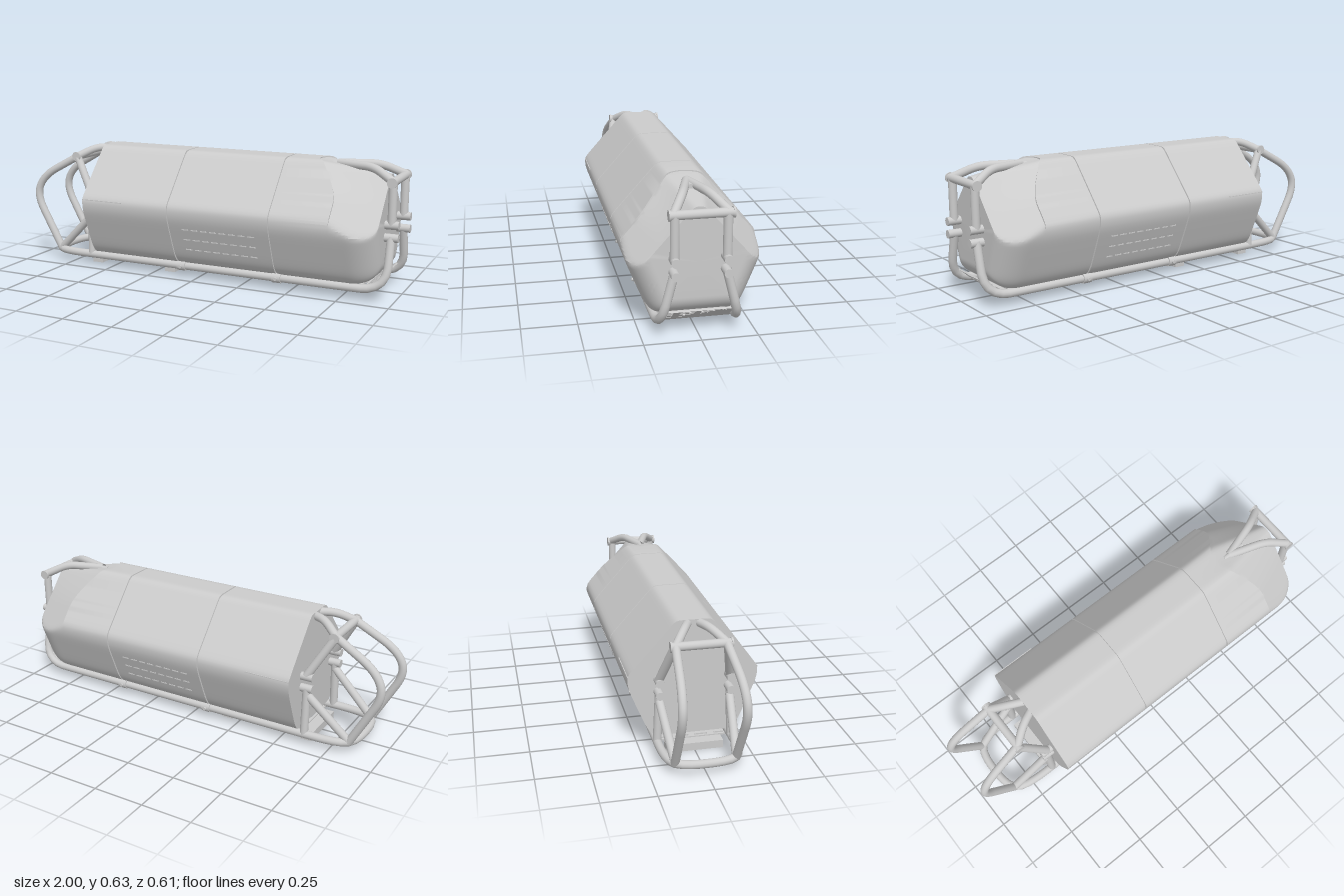
import * as THREE from 'three';
import { toCreasedNormals } from 'three/addons/utils/BufferGeometryUtils.js';

const V = (x, y, z) => new THREE.Vector3(x, y, z);
const CY = 0.33, NOSE = 0.93, REAR = -0.595, R = 0.02;

export function createModel() {
  const model = new THREE.Group();
  const mat = new THREE.MeshStandardMaterial({ color: 0xcccccc, side: THREE.DoubleSide });

  function add(name, geo, parent = model) {
    const m = new THREE.Mesh(geo, mat);
    m.name = name;
    parent.add(m);
    return m;
  }
  function box(name, sx, sy, sz, x, y, z) {
    const m = add(name, new THREE.BoxGeometry(sx, sy, sz));
    m.position.set(x, y, z);
    return m;
  }
  // Straight rod between two points
  function rod(name, a, b, r = R) {
    const d = b.clone().sub(a);
    const m = add(name, new THREE.CylinderGeometry(r, r, d.length(), 20));
    m.position.copy(a).add(b).multiplyScalar(0.5);
    m.quaternion.setFromUnitVectors(V(0, 1, 0), d.normalize());
    return m;
  }
  // Bent tube: straight runs joined by rounded corners
  function pipe(name, pts, bend = 0.06, closed = false) {
    const path = new THREE.CurvePath();
    let from = pts[0];
    for (let i = 1; i < pts.length - 1; i++) {
      const p = pts[i], a = pts[i - 1], b = pts[i + 1];
      const ra = Math.min(bend, p.distanceTo(a) * 0.48), rb = Math.min(bend, p.distanceTo(b) * 0.48);
      const s = p.clone().lerp(a, ra / p.distanceTo(a));
      const e = p.clone().lerp(b, rb / p.distanceTo(b));
      path.add(new THREE.LineCurve3(from, s));
      path.add(new THREE.QuadraticBezierCurve3(s, p, e));
      from = e;
    }
    path.add(new THREE.LineCurve3(from, pts[pts.length - 1]));
    return add(name, new THREE.TubeGeometry(path, 120, R, 14, closed));
  }

  // Body cross-section: rounded polygon from support planes [nz, ny, distance]
  function radius(th, shoulderCut, topCut, inset) {
    const planes = [
      [0, 1, 0.30 - topCut], [0.745, 0.667, 0.261 - shoulderCut], [1, 0, 0.305 - inset * 0.8],
      [0.924, -0.38, 0.283 - inset], [0.7, -0.714, 0.312 - inset], [0, -1, 0.26 - inset],
    ];
    const s = Math.abs(Math.sin(th)), c = Math.cos(th);
    let sum = 0;
    for (const [nz, ny, d] of planes) sum += Math.pow(Math.max(0, nz * s + ny * c) / d, 45);
    return Math.pow(sum, -1 / 45);
  }

  // Body shell: straight hull with two panel grooves, then a tapered nose
  const N = 144, pos = [], idx = [], rows = [];
  rows.push({ x: REAR, k: 0 }, { x: REAR, k: 1 });
  for (const g of [-0.105, 0.43])
    rows.push({ x: g - 0.004, k: 1 }, { x: g - 0.003, k: 0.975 }, { x: g + 0.003, k: 0.975 }, { x: g + 0.004, k: 1 });
  rows.push({ t: 0, k: 1 });
  for (let i = 0; i <= 20; i++) rows.push({ t: Math.sin((i / 20) * Math.PI / 2), step: 1, k: 1 });
  rows.push({ t: 1, step: 1, k: 0 });
  for (const row of rows) {
    for (let j = 0; j <= N; j++) {
      const th = (j / N) * Math.PI * 2;
      let x = row.x, r;
      if (x === undefined) {
        const z = Math.abs(Math.sin(th)) * radius(th, 0, 0, 0);
        const edge = Math.cos(th) < -0.2 ? 0.72 : 0.58 + 0.14 * THREE.MathUtils.smoothstep(z, 0, 0.24);
        x = THREE.MathUtils.lerp(edge, NOSE, row.t);
        const q = THREE.MathUtils.clamp((x - 0.80) / 0.13, 0, 1);
        const cut = row.step ? 0.007 + 0.075 * row.t : 0;
        r = radius(th, cut, row.step ? 0.005 + 0.05 * row.t : 0, 0.1 * (1 - Math.sqrt(1 - q * q)));
      } else r = radius(th, 0, 0, 0);
      pos.push(x, CY + r * row.k * Math.cos(th), r * row.k * Math.sin(th));
    }
  }
  for (let i = 0; i < rows.length - 1; i++)
    for (let j = 0; j < N; j++) {
      const a = i * (N + 1) + j, c = a + N + 1;
      idx.push(a, a + 1, c, a + 1, c + 1, c);
    }
  const hull = new THREE.BufferGeometry();
  hull.setAttribute('position', new THREE.Float32BufferAttribute(pos, 3));
  hull.setIndex(idx);
  add('bodyShell', toCreasedNormals(hull, 0.5));

  // Slotted plate, drawn in x (length) and y (width), then laid flat
  function slottedPlate(name, len, w0, w1, pitch) {
    const s = new THREE.Shape([[0, -w0], [len, -w1], [len, w1], [0, w0]].map(p => new THREE.Vector2(...p)));
    const rowsN = Math.floor((len - 0.005) / pitch), r = 0.006;
    for (let i = 0; i < rowsN; i++)
      for (const c of [-0.13, -0.045, 0.045, 0.13]) {
        const x = (i + 0.5) * (len / rowsN), h = new THREE.Path();
        const h0 = Math.abs(c) > 0.1 ? 0.018 : 0.026;
        h.absarc(x, c + h0, r, 0, Math.PI, false);
        h.absarc(x, c - h0, r, Math.PI, Math.PI * 2, false);
        s.holes.push(h);
      }
    const geo = new THREE.ExtrudeGeometry(s, { depth: 0.008, bevelEnabled: false, curveSegments: 4 });
    geo.rotateX(-Math.PI / 2);
    return add(name, geo);
  }
  slottedPlate('skidPlate', 1.44, 0.165, 0.165, 0.032).position.set(-0.59, 0.036, 0);
  const lip = slottedPlate('frontSkidLip', 0.11, 0.18, 0.16, 0.026);
  lip.position.set(0.85, 0.036, 0);
  lip.rotation.z = 0.68;

  // Feet under the skid plate
  for (const x of [-0.617, -0.18]) box('foot', 0.058, 0.038, 0.27, x, 0.019, 0);

  // Lower loop: two rails joined behind, rising at the nose
  const half = s => [
    V(0.965, 0.3, 0.113 * s), V(0.965, 0.055, 0.175 * s), V(-0.79, 0.055, 0.175 * s), V(-0.87, 0.055, 0.12 * s),
  ];
  pipe('lowerRailLoop', [...half(1), ...half(-1).reverse()], 0.13);

  for (const s of [1, -1]) {
    // Nose posts and their coupling studs
    rod('nosePost', V(0.965, 0.355, 0.113 * s), V(0.965, 0.555, 0.113 * s));
    for (const y of [0.295, 0.355]) {
      rod('noseCoupling', V(0.935, y, 0.113 * s), V(1, y, 0.113 * s));
      rod('rearCoupling', V(-0.655, y, 0.165 * s), V(-0.59, y, 0.165 * s));
    }
    // Forked top brace at the nose
    pipe('noseTopBrace', [V(0.67, 0.61, 0), V(0.86, 0.61, 0.06 * s), V(0.965, 0.558, 0.118 * s)], 0.05);
    // Rear cage side hoop
    pipe('rearHoop', [
      V(-0.735, 0.565, 0.115 * s), V(-0.945, 0.45, 0.135 * s), V(-0.995, 0.34, 0.142 * s), V(-0.84, 0.055, 0.14 * s),
    ], 0.09);
    pipe('rearTopBrace', [V(-0.58, 0.61, 0.025 * s), V(-0.655, 0.61, 0.06 * s), V(-0.735, 0.565, 0.115 * s)], 0.05);
    rod('rearUpperStrut', V(-0.735, 0.56, 0.12 * s), V(-0.62, 0.36, 0.165 * s));
    rod('rearLowerStrut', V(-0.84, 0.06, 0.14 * s), V(-0.625, 0.265, 0.165 * s));
    rod('rearPost', V(-0.625, 0.055, 0.175 * s), V(-0.625, 0.3, 0.165 * s));
    // Rail clamps
    for (const x of [-0.085, 0.43]) {
      rod('railClamp', V(x - 0.022, 0.055, 0.175 * s), V(x + 0.022, 0.055, 0.175 * s), 0.025);
      rod('clampBolt', V(x, 0.055, 0.15 * s), V(x, 0.055, 0.208 * s), 0.008);
    }
    // Vent strips on the lower wall and seam on the rear panel
    for (const y of [0.16, 0.215, 0.27]) {
      const z = 0.22 + (y - 0.12) * 0.412;
      for (let i = 0; i < 8; i++) box('ventSlot', 0.036, 0.005, 0.005, -0.015 + i * 0.05, y, z * s);
    }
    box('rearPanelSeam', 0.23, 0.004, 0.004, -0.48, 0.375, 0.303 * s);
  }

  // Crossbars with end collars
  function crossbar(name, x, y, w) {
    rod(name, V(x, y, -w), V(x, y, w));
    for (const s of [1, -1]) rod(name + 'Collar', V(x, y, (w - 0.008) * s), V(x, y, w * s), 0.024);
  }
  crossbar('noseCrossbar', 0.965, 0.555, 0.14);
  crossbar('rearCrossbar', -0.735, 0.565, 0.14);
  rod('noseBraceStud', V(0.64, 0.605, 0), V(0.76, 0.605, 0), 0.014);

  return model;
}
